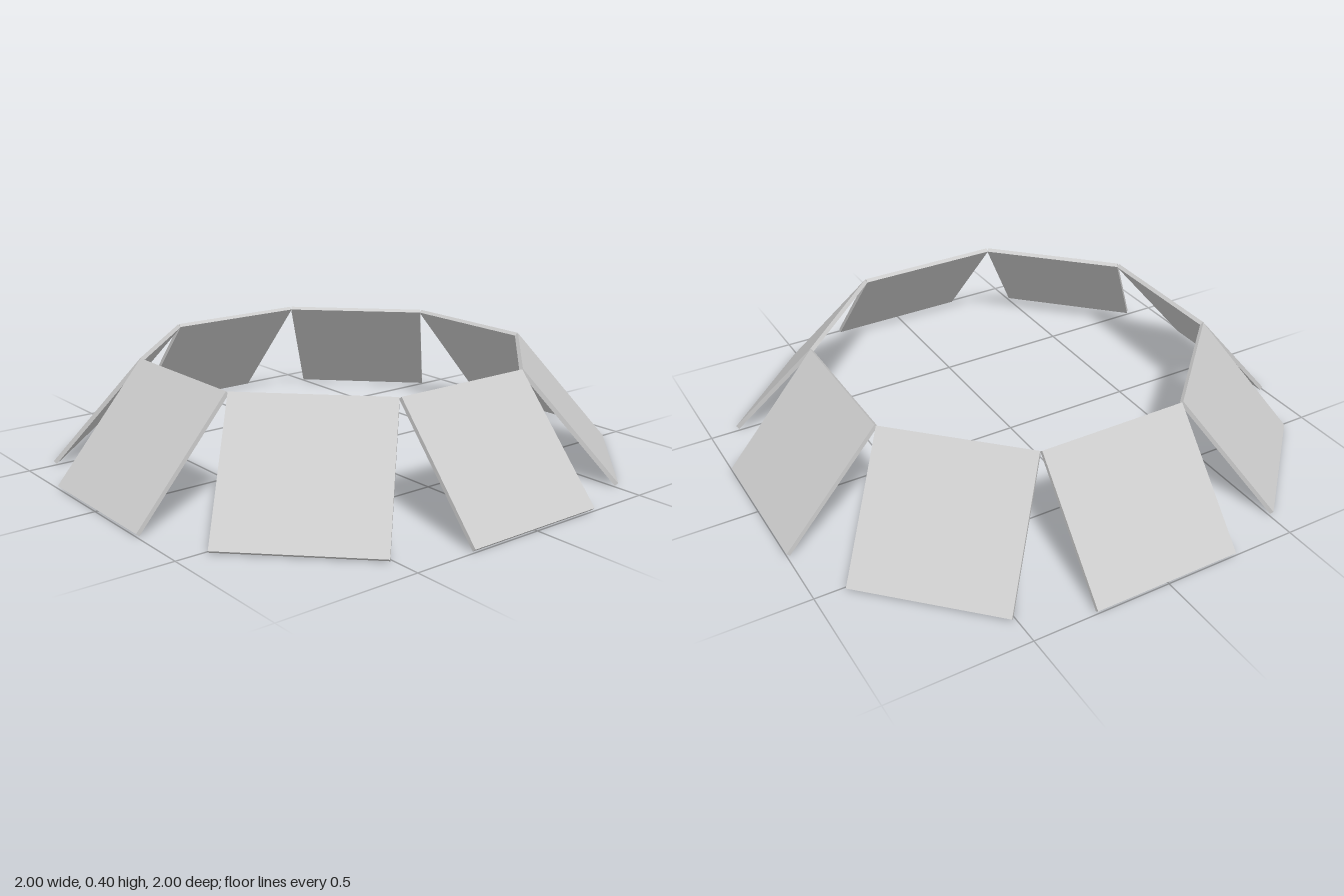
import * as THREE from 'three';

// Octagonal ring of eight thin, outward-leaning square panels
export function createModel() {
  const model = new THREE.Group();
  model.name = 'panelRing';

  const grey = new THREE.MeshStandardMaterial({ color: 0xcccccc });
  grey.name = 'light grey';

  const count = 8;
  const width = 0.54, length = 0.521, thickness = 0.015;
  const tilt = Math.atan2(0.34, 0.395); // lean of each panel from vertical
  const radius = 0.8245, height = 0.2025; // centre of each panel

  const panelGeometry = new THREE.BoxGeometry(width, length, thickness);
  panelGeometry.rotateX(-tilt);
  panelGeometry.translate(0, height, radius);

  for (let i = 0; i < count; i++) {
    const panel = new THREE.Mesh(panelGeometry, grey);
    panel.name = `slantedPanel${i + 1}`;
    panel.rotation.y = (i / count) * Math.PI * 2;
    model.add(panel);
  }
  return model;
}
